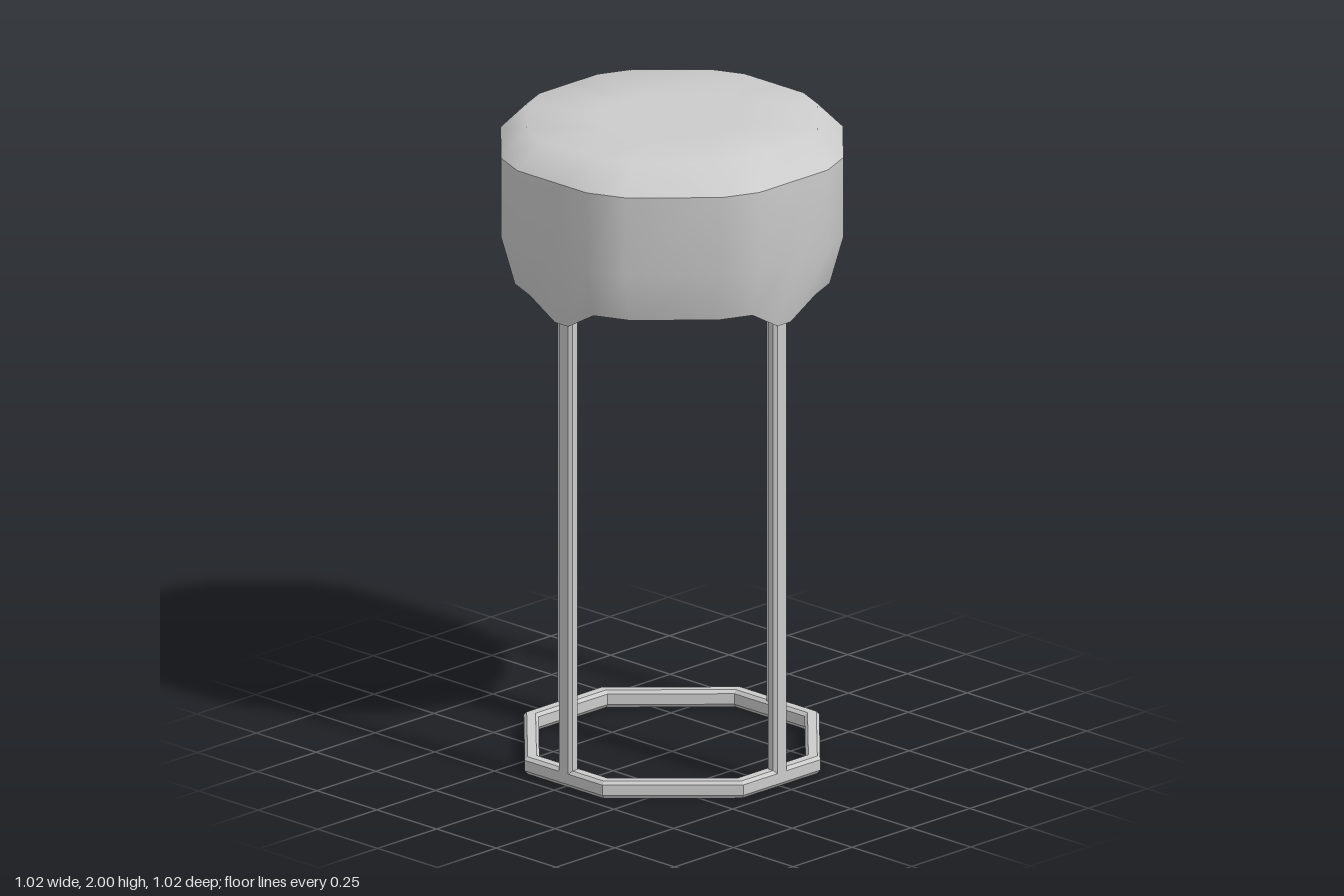
import * as THREE from 'three';

const material = new THREE.MeshStandardMaterial({ color: 0xcccccc });
const flatMaterial = new THREE.MeshStandardMaterial({ color: 0xcccccc, flatShading: true });

// Seat outline: angles repeated every quarter turn, wide facets on axes and diagonals
const quarter = [-15.9, -3.4, 3.4, 15.9, 29.3, 60.7];
const seatOutline = [];
for (let q = 0; q < 4; q++) {
  for (const deg of quarter) {
    const a = THREE.MathUtils.degToRad(deg + q * 90);
    const onAxis = Math.abs(deg) < 10;
    const r = onAxis ? 0.51 / Math.cos(THREE.MathUtils.degToRad(deg)) : 0.53;
    seatOutline.push({ x: r * Math.sin(a), z: r * Math.cos(a), onAxis });
  }
}

// Footrest outline: eight corners with longer diagonal sides
const ringOutline = [];
for (let q = 0; q < 4; q++) {
  const a = q * Math.PI / 2, c = Math.cos(a), s = Math.sin(a);
  for (const [x, z] of [[-0.163, 0.46], [0.163, 0.46]]) {
    ringOutline.push({ x: x * c + z * s, z: z * c - x * s });
  }
}

// Skin scaled copies of an outline; each level is [scale, y, y beside the legs]
function loft(outline, levels) {
  const n = outline.length, positions = [], index = [];
  for (const [scale, y, legY = y] of levels) {
    for (const p of outline) positions.push(p.x * scale, p.onAxis ? legY : y, p.z * scale);
  }
  for (let k = 0; k < levels.length - 1; k++) {
    for (let i = 0; i < n; i++) {
      const a = k * n + i, b = k * n + (i + 1) % n;
      index.push(a, b, b + n);
      if (levels[k + 1][0] > 0) index.push(a, b + n, a + n);
    }
  }
  const geometry = new THREE.BufferGeometry();
  geometry.setAttribute('position', new THREE.Float32BufferAttribute(positions, 3));
  geometry.setIndex(index);
  geometry.computeVertexNormals();
  return geometry;
}

export function createModel() {
  const group = new THREE.Group();
  const add = (name, geometry, mat = material) => {
    const mesh = new THREE.Mesh(geometry, mat);
    mesh.name = name;
    group.add(mesh);
    return mesh;
  };

  // Cushion: soft top and tapered sides whose lower edge dips at each leg
  add('cushionTop', loft(seatOutline, [[1, 1.92], [0.85, 2], [0.4, 2], [0, 2]]));
  add('cushionSide', loft(seatOutline, [[0.92, 1.52, 1.46], [1, 1.67], [1, 1.92]]));

  // Hollow underside: recessed panel, inner wall and rim
  add('seatUnderside', loft(seatOutline, [
    [0.001, 1.64], [0.82, 1.64], [0.82, 1.52], [0.92, 1.52, 1.46],
  ]), flatMaterial);

  // Footrest ring with chamfered edges
  add('footRing', loft(ringOutline, [
    [0.92, 0], [0.98, 0], [1, 0.012], [1, 0.045], [0.98, 0.055],
    [0.92, 0.055], [0.9, 0.045], [0.9, 0.012], [0.92, 0],
  ]), flatMaterial);

  // Four chamfered legs
  const w = 0.028, d = 0.02, c = 0.009;
  const section = new THREE.Shape([
    [-w + c, -d], [w - c, -d], [w, -d + c], [w, d - c],
    [w - c, d], [-w + c, d], [-w, d - c], [-w, -d + c],
  ].map(([x, y]) => new THREE.Vector2(x, y)));
  const legGeometry = new THREE.ExtrudeGeometry(section, { depth: 1.49, bevelEnabled: false });
  legGeometry.rotateX(-Math.PI / 2).translate(0, 0.03, 0.44);
  ['frontLeg', 'leftLeg', 'backLeg', 'rightLeg'].forEach((name, i) => {
    add(name, legGeometry, flatMaterial).rotation.y = i * Math.PI / 2;
  });

  return group;
}
